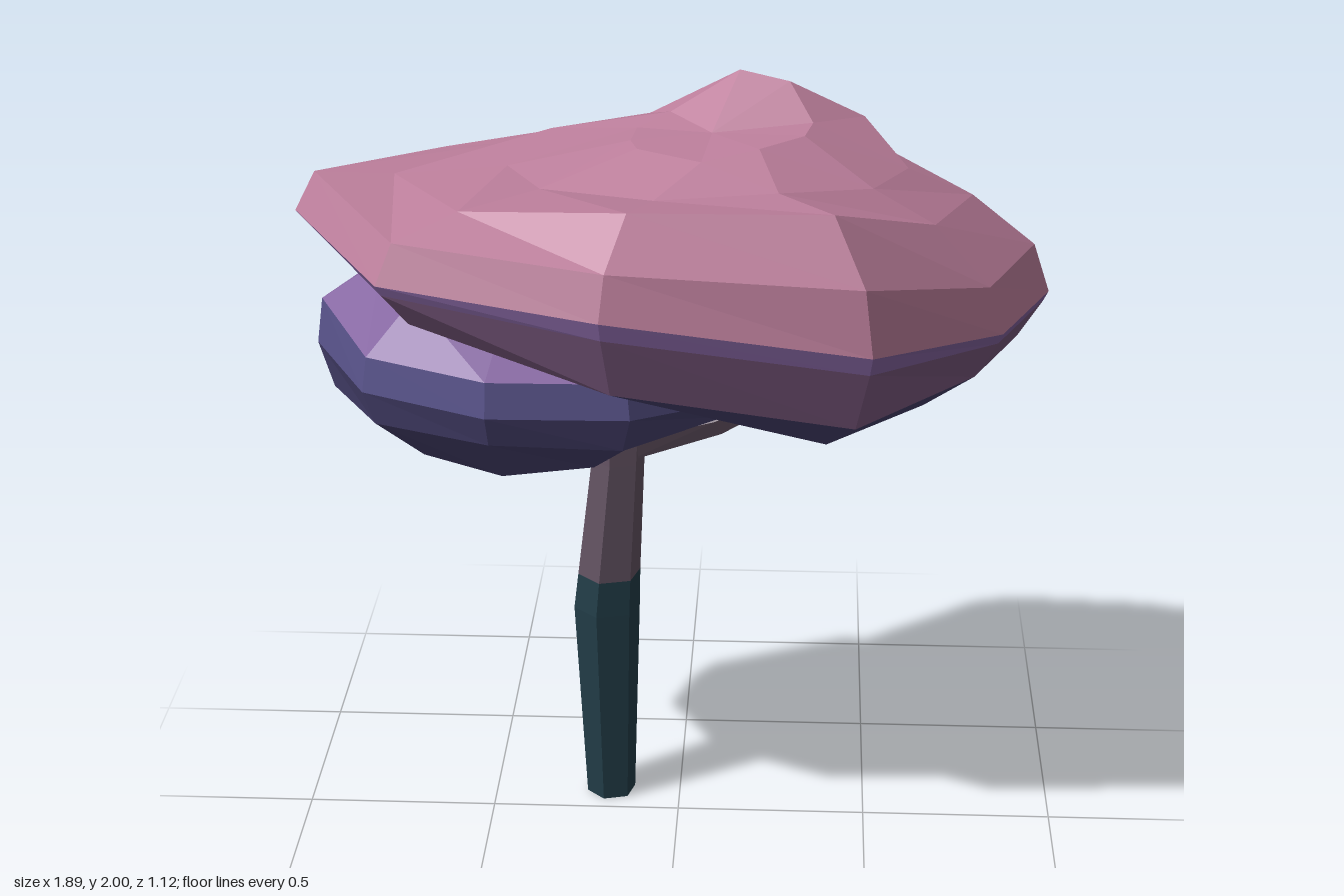
import * as THREE from 'three';

const mat = (name, color) => Object.assign(new THREE.MeshStandardMaterial({ color }), { name });

// Faceted skin through rings listed from top to bottom, with optional closing points
function loft(name, material, rings, topPoint, bottomPoint) {
  const pos = [];
  const tri = (a, b, c) => pos.push(...a, ...b, ...c);
  const n = rings[0].length;
  for (let i = 0; i < n; i++) {
    const j = (i + 1) % n;
    for (let r = 0; r + 1 < rings.length; r++) {
      const a = rings[r], b = rings[r + 1];
      tri(a[i], b[i], b[j]);
      tri(a[i], b[j], a[j]);
    }
    const last = rings[rings.length - 1];
    if (topPoint) tri(topPoint, rings[0][i], rings[0][j]);
    if (bottomPoint) tri(bottomPoint, last[j], last[i]);
  }
  const g = new THREE.BufferGeometry();
  g.setAttribute('position', new THREE.Float32BufferAttribute(pos, 3));
  g.computeVertexNormals();
  const mesh = new THREE.Mesh(g, material);
  mesh.name = name;
  return mesh;
}

// Outline shrunk toward a centre, with one height per corner
const ring = (outline, [cx, cz], s, heights) =>
  outline.map(([x, z], i) => [cx + (x - cx) * s, heights[i], cz + (z - cz) * s]);

// Six-sided tapering limb along a path of [x, y, z, radius]
function limb(name, material, path) {
  const pts = path.map(p => new THREE.Vector3(p[0], p[1], p[2]));
  const up = new THREE.Vector3(0, 1, 0);
  const rings = pts.map((p, k) => {
    const dir = pts[Math.min(k + 1, pts.length - 1)].clone().sub(pts[Math.max(k - 1, 0)]).normalize();
    if (dir.y > 0.95) dir.copy(up);
    const q = new THREE.Quaternion().setFromUnitVectors(up, dir);
    return Array.from({ length: 6 }, (_, i) => {
      const a = (i + 0.25) * Math.PI / 3;
      return new THREE.Vector3(Math.cos(a), 0, -Math.sin(a)).multiplyScalar(path[k][3])
        .applyQuaternion(q).add(p).toArray();
    });
  });
  return loft(name, material, rings.reverse(), pts[pts.length - 1].toArray(), pts[0].toArray());
}

export function createModel() {
  const tree = new THREE.Group();
  tree.name = 'tree';
  const pink = mat('blossom pink', 0xbd7f9c);
  const mauve = mat('mauve', 0x7c5a80);
  const indigo = mat('deep indigo', 0x484270);
  const violet = mat('violet', 0x8464a0);
  const blue = mat('dusky blue', 0x58538a);
  const bark = mat('bark', 0x655464);
  const moss = mat('dark teal', 0x223d48);

  // Trunk, teal below and bark above
  tree.add(limb('lowerTrunk', moss, [
    [-0.188, 0, -0.105, 0.066], [-0.195, 0.56, -0.108, 0.089], [-0.188, 0.66, -0.104, 0.084]]));
  tree.add(limb('upperTrunk', bark, [
    [-0.188, 0.66, -0.104, 0.084], [-0.16, 1.0, -0.078, 0.07], [-0.155, 1.12, -0.075, 0.072]]));

  // Branches
  tree.add(limb('leftBranch', bark, [
    [-0.15, 1.05, -0.085, 0.065], [0.1, 1.12, -0.07, 0.045], [0.3, 1.23, -0.035, 0.025]]));
  tree.add(limb('rightBranch', bark, [
    [-0.16, 1.05, -0.07, 0.055], [-0.35, 1.06, 0.03, 0.035], [-0.43, 1.16, 0.07, 0.028]]));
  tree.add(limb('backBranch', bark, [
    [-0.15, 1.02, -0.09, 0.05], [-0.13, 1.15, -0.15, 0.03], [-0.12, 1.24, -0.19, 0.02]]));

  // Large upper crown: tilted, with an off-centre peak beside a hollow
  const outline = [[-0.95, 0.03], [-0.7, 0.41], [-0.16, 0.56], [0.48, 0.47], [0.81, 0.08],
    [0.945, -0.24], [0.63, -0.5], [0.23, -0.565], [-0.26, -0.565], [-0.64, -0.27]];
  const shape = (s, h) => ring(outline, [0.08, -0.08], s, h);
  const peak = [[-0.12, 1.87, -0.04], [-0.1, 1.87, 0.03], [0.06, 1.86, 0.1], [0.2, 1.88, 0.05],
    [0.31, 1.89, -0.03], [0.33, 1.9, -0.11], [0.27, 1.98, -0.2], [0.145, 2.0, -0.23],
    [-0.03, 1.89, -0.225], [-0.11, 1.87, -0.15]];
  const terrace = [[-0.42, 1.82, 0.02], [-0.33, 1.8, 0.14], [-0.05, 1.8, 0.22], [0.25, 1.81, 0.18],
    [0.48, 1.78, 0.04], [0.57, 1.78, -0.13], [0.46, 1.88, -0.24], [0.2, 1.84, -0.38],
    [-0.09, 1.84, -0.38], [-0.33, 1.85, -0.2]];
  const equator = shape(1, [1.7, 1.64, 1.61, 1.5, 1.42, 1.42, 1.47, 1.52, 1.6, 1.68]);
  const strip = shape(0.985, [1.69, 1.615, 1.565, 1.455, 1.395, 1.395, 1.44, 1.49, 1.56, 1.645]);
  const under = shape(0.91, [1.66, 1.53, 1.41, 1.3, 1.3, 1.3, 1.33, 1.38, 1.42, 1.53]);
  const crown = new THREE.Group();
  crown.name = 'upperCrown';
  crown.add(loft('crownTop', pink, [peak, terrace,
    shape(0.76, [1.79, 1.79, 1.83, 1.81, 1.69, 1.69, 1.76, 1.78, 1.8, 1.8]),
    shape(0.95, [1.8, 1.74, 1.72, 1.66, 1.54, 1.55, 1.61, 1.68, 1.74, 1.78]),
    equator], [0.08, 1.88, -0.08]));
  crown.add(loft('crownEdge', violet, [equator, strip]));
  crown.add(loft('crownBand', mauve, [strip, under]));
  crown.add(loft('crownBelly', indigo, [under,
    shape(0.74, [1.54, 1.46, 1.36, 1.22, 1.21, 1.2, 1.24, 1.3, 1.36, 1.47]),
    shape(0.45, [1.44, 1.41, 1.33, 1.2, 1.17, 1.16, 1.19, 1.25, 1.33, 1.43])],
    null, [0.2, 1.24, -0.05]));
  tree.add(crown);

  // Small lower crown on the right side
  const low = [[-0.925, -0.05], [-0.77, 0.24], [-0.45, 0.4], [-0.1, 0.37], [0.16, 0.15],
    [0.16, -0.15], [-0.1, -0.36], [-0.55, -0.395], [-0.86, -0.24]];
  const level = (s, h) => ring(low, [-0.38, 0], s, h);
  const shoulder = level(0.97, [1.44, 1.39, 1.39, 1.38, 1.34, 1.35, 1.38, 1.42, 1.44]);
  const waist = level(1, [1.32, 1.3, 1.3, 1.29, 1.26, 1.26, 1.28, 1.31, 1.32]);
  const lower = new THREE.Group();
  lower.name = 'lowerCrown';
  lower.add(loft('lowerCrownTop', violet, [
    level(0.68, [1.55, 1.52, 1.46, 1.42, 1.38, 1.38, 1.42, 1.5, 1.55]), shoulder], [-0.38, 1.48, 0]));
  lower.add(loft('lowerCrownBand', blue, [shoulder, waist]));
  lower.add(loft('lowerCrownBelly', indigo, [waist,
    level(0.93, [1.2, 1.21, 1.22, 1.2, 1.21, 1.21, 1.21, 1.2, 1.2]),
    level(0.65, [1.13, 1.1, 1.09, 1.11, 1.16, 1.16, 1.14, 1.13, 1.13])], null, [-0.38, 1.15, 0]));
  tree.add(lower);
  return tree;
}
